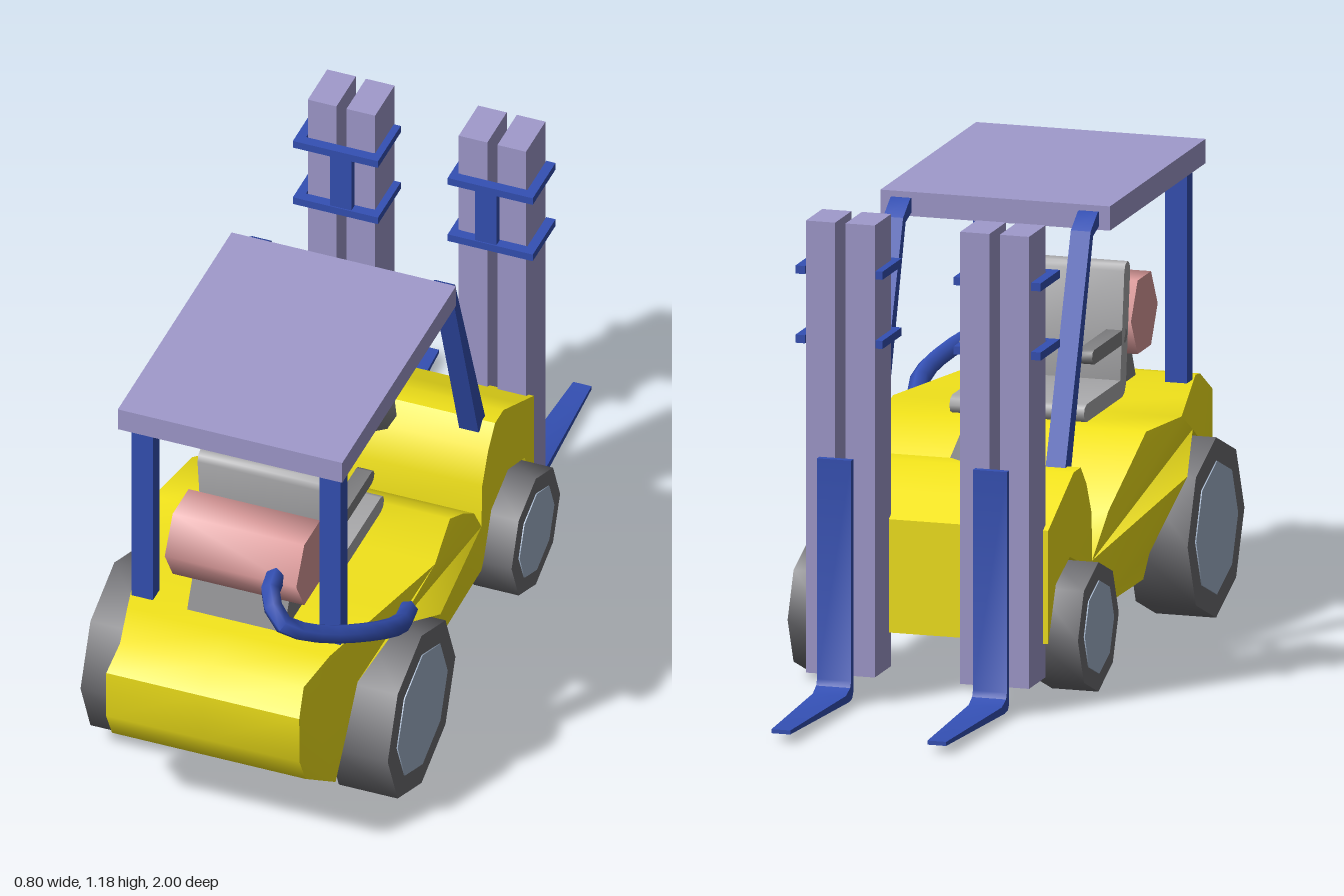
import * as THREE from 'three';
import { toCreasedNormals } from 'three/addons/utils/BufferGeometryUtils.js';

const mat = (color) => new THREE.MeshStandardMaterial({ color, side: THREE.DoubleSide });
const yellow = mat(0xf2e31a), blue = mat(0x3450b4), lavender = mat(0xa09acc);
const pink = mat(0xdd9c9c), rubber = mat(0x6c6c70), hubMat = mat(0xa3b5cc);
const grey = mat(0xa9a9ab), darkGrey = mat(0x808082);

export function createModel() {
  const model = new THREE.Group();

  const add = (name, geometry, material, crease = 0.6) => {
    const mesh = new THREE.Mesh(toCreasedNormals(geometry, crease), material);
    mesh.name = name;
    model.add(mesh);
    return mesh;
  };

  // Box given by its limits on each axis
  const box = (name, [x0, x1], [y0, y1], [z0, z1], material) => {
    const g = new THREE.BoxGeometry(Math.abs(x1 - x0), y1 - y0, z1 - z0);
    g.translate((x0 + x1) / 2, (y0 + y1) / 2, (z0 + z1) / 2);
    return add(name, g, material);
  };

  // Side outline of [z, y] points extruded across x
  const sideExtrude = (points, x0, x1, steps = 1) => {
    const shape = new THREE.Shape(points.map(([z, y]) => new THREE.Vector2(-z, y)));
    const g = new THREE.ExtrudeGeometry(shape, { depth: x1 - x0, steps, bevelEnabled: false });
    g.rotateY(Math.PI / 2);
    return g.translate(x0, 0, 0);
  };

  // Straight round bar between two points
  const bar = (name, a, b, ra, rb, material, sides = 8) => {
    const from = new THREE.Vector3(...a), to = new THREE.Vector3(...b);
    const dir = to.clone().sub(from);
    const g = new THREE.CylinderGeometry(rb, ra, dir.length(), sides);
    const mesh = add(name, g, material, 0.9);
    mesh.position.copy(from).lerp(to, 0.5);
    mesh.quaternion.setFromUnitVectors(new THREE.Vector3(0, 1, 0), dir.normalize());
    return mesh;
  };

  // Body: side outline with wheel arches, widened around the rear wheels
  const outline = [
    [1, 0.46], [0.94, 0.51], [0.83, 0.533], [0.6, 0.533], [0.4, 0.533], [0.22, 0.533],
    [0.12, 0.475], [0, 0.385], [-0.085, 0.28], [-0.09, 0.4], [-0.13, 0.48], [-0.175, 0.53],
    [-0.23, 0.53], [-0.33, 0.48], [-0.43, 0.43], [-0.43, 0.15], [-0.37, 0.285], [-0.26, 0.328],
    [-0.15, 0.285], [-0.1, 0.17], [-0.085, 0.148], [0.3, 0.148], [0.32, 0.21], [0.4, 0.385],
    [0.57, 0.462], [0.74, 0.4], [0.79, 0.26], [0.83, 0.155], [0.96, 0.25], [1, 0.33],
  ];
  const lerp = THREE.MathUtils.lerp, smooth = THREE.MathUtils.smoothstep;
  const halfWidth = (y, z) => {
    if (z < -0.08) return 0.295;
    const wide = z < 0.4 ? lerp(0.295, 0.38, (z + 0.08) / 0.48)
      : lerp(0.38, 0.25, Math.min(1, (z - 0.4) / 0.54));
    const low = Math.min(0.3, wide);
    return lerp(low, wide, smooth(y, 0.15, 0.4)) - 0.015 * smooth(y, 0.45, 0.53);
  };
  const body = sideExtrude(outline, -1, 1, 2);
  const p = body.attributes.position;
  for (let i = 0; i < p.count; i++) p.setX(i, p.getX(i) * halfWidth(p.getY(i), p.getZ(i)));
  add('body', body, yellow, 0.75);

  // Eight-sided wheels with flat hubs
  const wheel = (name, x0, x1, z, r, hubR) => {
    for (const s of [-1, 1]) {
      const parts = [['Tyre', r, x1 - x0, rubber], ['Hub', hubR, x1 - x0 + 0.006, hubMat]];
      for (const [part, radius, width, material] of parts) {
        const g = new THREE.CylinderGeometry(radius, radius, width, 8).rotateZ(Math.PI / 2);
        add(name + part, g, material, 0.9).position.set(s * (x0 + x1) / 2, r, z);
      }
    }
  };
  wheel('rear', 0.245, 0.397, 0.57, 0.223, 0.165);
  wheel('front', 0.25, 0.367, -0.26, 0.16, 0.115);

  // Overhead guard
  box('roof', [-0.29, 0.29], [1.06, 1.12], [0.07, 0.82], lavender);
  const frontPost = [
    [-0.2, 0.51], [-0.15, 0.51], [0.025, 1.055], [0.075, 1.07], [0.075, 1.105], [0.06, 1.105], [0.005, 1.07],
  ];
  for (const s of [-1, 1]) {
    box('rearPost', [s * 0.215, s * 0.27], [0.51, 1.065], [0.735, 0.78], blue);
    const x = s * 0.237;
    add('frontPost', sideExtrude(frontPost, x - 0.025, x + 0.025), blue);
  }

  // Seat with slightly reclined back and armrests
  const rounded = (z0, y0, z1, y1, r) => {
    const dir = new THREE.Vector2(z1 - z0, y1 - y0), angle = dir.angle(), pts = [];
    for (let i = 0; i <= 4; i++) {
      const a = angle + Math.PI / 2 + i * Math.PI / 4;
      pts.push([z0 + r * Math.cos(a), y0 + r * Math.sin(a)]);
    }
    for (let i = 0; i <= 4; i++) {
      const a = angle - Math.PI / 2 + i * Math.PI / 4;
      pts.push([z1 + r * Math.cos(a), y1 + r * Math.sin(a)]);
    }
    return pts;
  };
  add('seatCushion', sideExtrude(rounded(0.54, 0.558, 0.26, 0.558, 0.022), -0.17, 0.17), grey, 0.9);
  add('seatBack', sideExtrude(rounded(0.545, 0.565, 0.578, 0.84, 0.023), -0.17, 0.17), grey, 0.9);
  for (const s of [-1, 1]) {
    const x = s * 0.15;
    add('armrest', sideExtrude(rounded(0.56, 0.683, 0.32, 0.683, 0.018), x - 0.02, x + 0.02), darkGrey, 0.9);
  }

  // Gas tank on its bracket
  const tank = new THREE.CylinderGeometry(0.105, 0.105, 0.34, 6).rotateZ(Math.PI / 2);
  add('gasTank', tank, pink, 1.1).position.set(0, 0.706, 0.712);
  add('tankBracket', sideExtrude([[0.79, 0.52], [0.74, 0.625], [0.69, 0.625], [0.66, 0.52]], -0.125, 0.125), darkGrey);

  // Hose from the tank to the left fender
  const hosePath = new THREE.CatmullRomCurve3([
    [0.11, 0.71, 0.76], [0.12, 0.71, 0.86], [0.17, 0.67, 0.915], [0.24, 0.625, 0.87],
    [0.33, 0.575, 0.76], [0.37, 0.53, 0.65], [0.35, 0.49, 0.54],
  ].map((v) => new THREE.Vector3(...v)));
  add('hose', new THREE.TubeGeometry(hosePath, 14, 0.025, 6), blue, 1.2);

  // Steering column and wheel
  bar('steeringColumn', [0, 0.49, -0.165], [0, 0.685, 0.09], 0.052, 0.028, darkGrey);
  const steering = new THREE.Group();
  steering.name = 'steeringWheel';
  steering.position.set(0, 0.697, 0.108);
  steering.rotation.x = -0.57;
  const rim = new THREE.Mesh(toCreasedNormals(new THREE.TorusGeometry(0.085, 0.014, 6, 8), 1.1), blue);
  rim.name = 'steeringRim';
  steering.add(rim);
  for (let i = 0; i < 3; i++) {
    const spoke = new THREE.Mesh(new THREE.BoxGeometry(0.018, 0.085, 0.014).translate(0, 0.042, 0), blue);
    spoke.name = 'steeringSpoke';
    spoke.rotation.z = Math.PI / 2 + i * Math.PI * 2 / 3 + Math.PI / 6;
    steering.add(spoke);
  }
  model.add(steering);

  // Mast rails, clamps and forks on each side
  for (const s of [-1, 1]) {
    const span = (a, b) => [s * a, s * b];
    box('innerRail', span(0.108, 0.182), [0.063, 1.18], [-0.54, -0.412], lavender);
    box('outerRail', span(0.208, 0.282), [0.063, 1.18], [-0.54, -0.412], lavender);
    box('clampPlate', span(0.16, 0.215), [0.88, 1.06], [-0.408, -0.388], blue);
    for (const y of [0.875, 1.046]) {
      box('clampBar', span(0.09, 0.31), [y, y + 0.02], [-0.411, -0.385], blue);
      for (const x of [0.09, 0.286]) {
        box('clampArm', span(x, x + 0.024), [y, y + 0.02], [-0.535, -0.4], blue);
      }
    }
    box('forkLink', span(0.185, 0.208), [0.325, 0.345], [-0.575, -0.49], blue);

    // Fork: upright shank bending into a tapering tine
    const fork = sideExtrude([
      [-0.565, 0.605], [-0.565, 0.03], [-0.575, 0.015], [-0.6, 0.012], [-1, 0.02],
      [-1, 0.03], [-0.62, 0.032], [-0.59, 0.045], [-0.583, 0.06], [-0.583, 0.605],
    ], -0.043, 0.043);
    const f = fork.attributes.position;
    for (let i = 0; i < f.count; i++) {
      const t = Math.max(0, (-0.6 - f.getZ(i)) / 0.4);
      f.setX(i, f.getX(i) * (1 - 0.45 * t) + s * 0.197);
    }
    add('fork', fork, blue);
  }
  return model;
}
